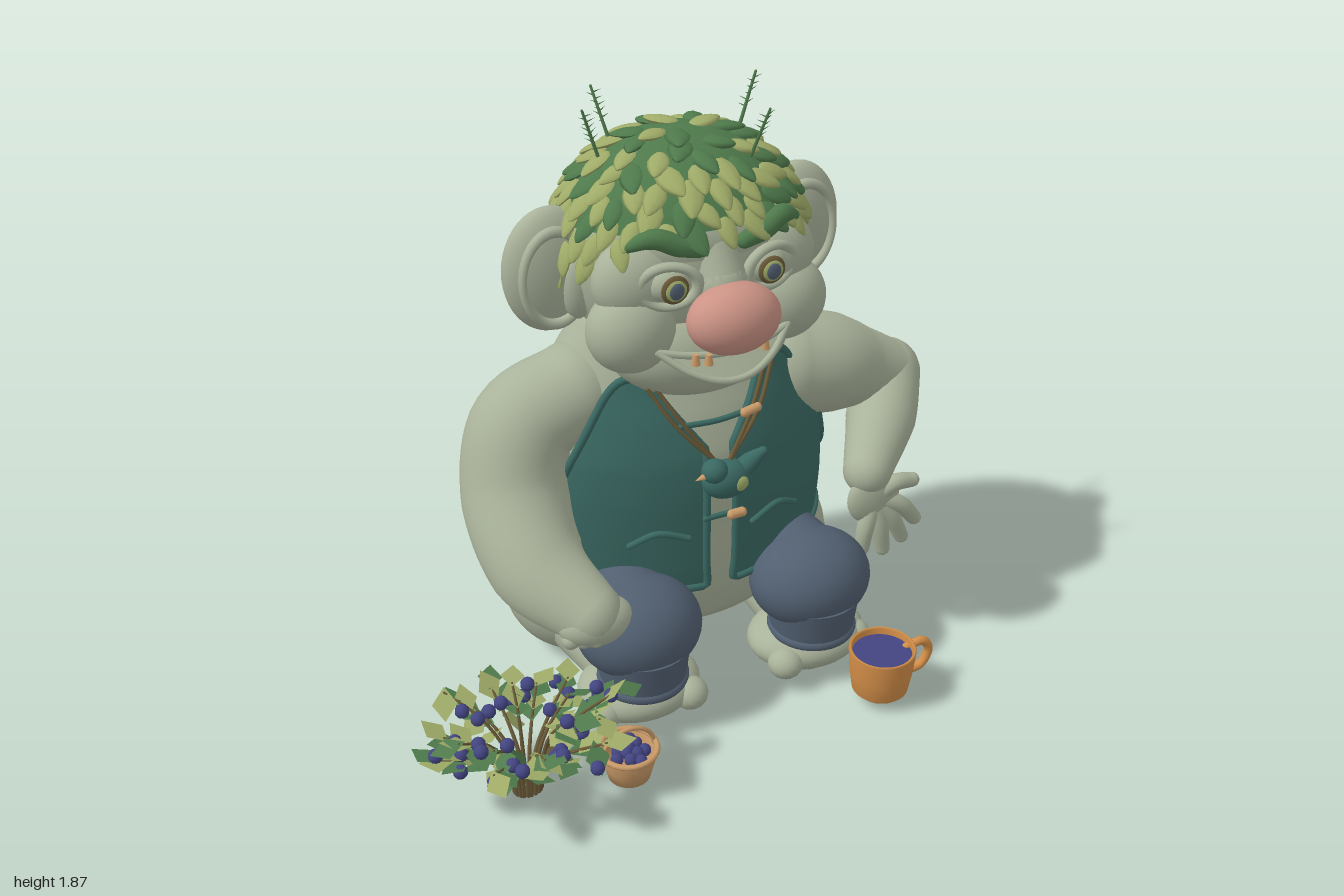
import * as THREE from 'three';
import { mergeGeometries } from 'three/addons/utils/BufferGeometryUtils.js';
import { ParametricGeometry } from 'three/addons/geometries/ParametricGeometry.js';

const V = (x, y, z) => new THREE.Vector3(x, y, z);
const mat = (name, color, side = THREE.FrontSide) => {
  const m = new THREE.MeshStandardMaterial({ color, side });
  m.name = name;
  return m;
};
const CX = 0.1; // the body's own middle line

export function createModel() {
  const root = new THREE.Group();
  const skin = mat('skin', 0xa9b29a, THREE.DoubleSide), teal = mat('vestTeal', 0x3a6862, THREE.DoubleSide);
  const denim = mat('trouserBlue', 0x515f70), pink = mat('nosePink', 0xcb9385);
  const dark = mat('darkLeaf', 0x4f7a4c, THREE.DoubleSide), light = mat('lightLeaf', 0x9fab68, THREE.DoubleSide);
  const orange = mat('cupOrange', 0xd38e48, THREE.DoubleSide), wicker = mat('wicker', 0xc99a68, THREE.DoubleSide);
  const berry = mat('berryBlue', 0x434582), stem = mat('stemBrown', 0x6a5a38);

  let seed = 7;
  const rnd = () => (seed = (seed * 16807) % 2147483647) / 2147483647;
  const add = (name, geo, m) => {
    const mesh = new THREE.Mesh(geo, m);
    mesh.name = name;
    root.add(mesh);
    return mesh;
  };
  const ballGeo = (c, r, seg = 32) => new THREE.SphereGeometry(1, seg, Math.ceil(seg * 0.7)).scale(...r).translate(...c);
  const ball = (name, c, r, m, seg) => add(name, ballGeo(c, r, seg), m);
  // Tapered round-ended tube through points [x, y, z, radius]
  const limbGeo = (pts, n = 24, m = 20) => {
    const curve = new THREE.CatmullRomCurve3(pts.map((p) => V(p[0], p[1], p[2])));
    const g = new THREE.TubeGeometry(curve, n, 1, m), pos = g.attributes.position, v = V();
    for (let i = 0; i <= n; i++) {
      const c = curve.getPointAt(i / n), f = (i / n) * (pts.length - 1), k = Math.min(Math.floor(f), pts.length - 2);
      const r = THREE.MathUtils.lerp(pts[k][3], pts[k + 1][3], f - k);
      for (let j = 0; j <= m; j++) {
        const id = i * (m + 1) + j;
        v.fromBufferAttribute(pos, id).sub(c).multiplyScalar(r).add(c);
        pos.setXYZ(id, v.x, v.y, v.z);
      }
    }
    const ends = [pts[0], pts.at(-1)].map((p) => ballGeo(p.slice(0, 3), [p[3], p[3], p[3]], m));
    return mergeGeometries([g, ...ends]);
  };
  const limb = (name, pts, m, n, s) => add(name, limbGeo(pts, n, s), m);
  // Puts a shape with its y along dir and its z near normal
  const place = (geo, p, dir, normal) => {
    const y = dir.clone().normalize(), z = normal.clone().addScaledVector(y, -normal.dot(y)).normalize();
    return geo.applyMatrix4(new THREE.Matrix4().makeBasis(y.clone().cross(z), y, z).setPosition(p));
  };

  // Torso: rows of half width, front z and back z at even heights
  const Y0 = 0.08, Y1 = 1.33;
  const rows = new THREE.CatmullRomCurve3([
    [0.05, -0.18, -0.27], [0.35, 0.01, -0.45], [0.44, 0.05, -0.53], [0.47, 0.06, -0.57], [0.48, 0.06, -0.575], [0.475, 0.06, -0.57],
    [0.46, 0.05, -0.56], [0.43, 0.015, -0.55], [0.39, -0.03, -0.535], [0.31, -0.05, -0.485], [0.2, -0.07, -0.38],
  ].map((r) => V(...r)));
  const bodyAt = (a, y, off = 0) => {
    const r = rows.getPoint(THREE.MathUtils.clamp((y - Y0) / (Y1 - Y0), 0, 1));
    return V(CX + (r.x + off) * Math.sin(a), y, (r.y + r.z) / 2 + ((r.y - r.z) / 2 + off) * Math.cos(a));
  };
  add('torso', new ParametricGeometry((u, v, t) => t.copy(bodyAt(u * Math.PI * 2, Y0 + v * (Y1 - Y0))), 48, 40), skin);

  // Vest: wraps the torso, its upper edge dips for neckline and armholes
  const edge = [[0.1, 0.88], [0.27, 0.98], [0.5, 1.09], [0.75, 1.08], [1.02, 0.88], [1.27, 0.68], [1.6, 0.59], [2.0, 0.77], [2.45, 1.04], [2.8, 1.14]];
  const full = [...edge, [Math.PI, 1.16], ...edge.map(([a, y]) => [Math.PI * 2 - a, y]).reverse()];
  const topEdge = new THREE.SplineCurve(full.map((p) => new THREE.Vector2(...p)));
  const vestAt = (u, v) => {
    const p = topEdge.getPoint(u), low = 0.385 + 0.06 * Math.sin(p.x) ** 2;
    const pleat = p.x > 2 && p.x < 4.3 ? 0.006 * Math.sin(p.x * 14) : 0;
    return bodyAt(p.x, low + (p.y - low) * v, 0.022 + pleat);
  };
  add('vest', new ParametricGeometry((u, v, t) => t.copy(vestAt(u, v)), 120, 24), teal);
  const rim = [];
  for (let i = 0; i <= 80; i++) rim.push(vestAt(i / 80, 1));
  for (let i = 1; i < 6; i++) rim.push(vestAt(1, 1 - i / 6));
  for (let i = 80; i >= 0; i--) rim.push(vestAt(i / 80, 0));
  for (let i = 1; i < 6; i++) rim.push(vestAt(0, i / 6));
  add('vestTrim', new THREE.TubeGeometry(new THREE.CatmullRomCurve3(rim, true), 300, 0.013, 8, true), teal);
  for (const s of [-1, 1]) {
    const pocket = [[0.22, 0.585], [0.42, 0.615], [0.6, 0.575]].map(([a, y]) => [...bodyAt(s * a, y, 0.026).toArray(), 0.011]);
    limb('pocketEdge', pocket, teal, 10, 8);
  }

  // Ties, toggles, necklace cords and bird pendant
  limb('upperTie', [[-0.02, 0.97, 0.045, 0.009], [0.1, 0.965, 0.05, 0.009], [0.22, 0.975, 0.045, 0.009]], teal, 8, 8);
  limb('lowerTie', [[0.04, 0.65, 0.09, 0.009], [0.16, 0.65, 0.09, 0.009]], teal, 4, 8);
  limb('upperToggle', [[0.185, 0.972, 0.055, 0.015], [0.23, 0.978, 0.05, 0.015]], wicker, 4, 10);
  limb('lowerToggle', [[0.125, 0.648, 0.1, 0.016], [0.16, 0.648, 0.1, 0.016]], wicker, 4, 10);
  for (const s of [-1, 1]) for (const d of [0, 0.024])
    limb('necklaceCord', [[CX + s * (0.18 + d), 1.09, -0.005, 0.007], [CX + s * (0.11 + d), 0.97, 0.05, 0.007], [CX + s * 0.02, 0.84, 0.09, 0.007]], stem, 12, 6);
  ball('birdBody', [0.105, 0.785, 0.1], [0.08, 0.062, 0.055], teal, 20);
  ball('birdHead', [0.06, 0.83, 0.11], [0.042, 0.038, 0.04], teal, 16);
  limb('birdTail', [[0.15, 0.8, 0.1, 0.035], [0.2, 0.835, 0.1, 0.03], [0.228, 0.85, 0.1, 0.015]], teal, 8, 10);
  ball('birdBelly', [0.13, 0.785, 0.142], [0.028, 0.026, 0.015], light, 14);
  add('birdBeak', new THREE.ConeGeometry(0.014, 0.04, 10).rotateZ(1.8).translate(0.012, 0.82, 0.115), wicker);

  // Head, jaw, nose, face
  const HC = V(CX, 1.43, -0.23);
  ball('head', HC.toArray(), [0.36, 0.35, 0.295], skin, 40);
  ball('forehead', [CX, 1.52, -0.12], [0.28, 0.16, 0.18], skin);
  ball('jaw', [CX, 1.19, -0.09], [0.29, 0.175, 0.185], skin, 36);
  ball('nose', [CX, 1.35, 0.14], [0.142, 0.105, 0.1], pink);
  limb('noseBridge', [[CX, 1.51, 0.0, 0.07], [CX, 1.42, 0.05, 0.08]], skin, 8);
  for (const s of [-1, 1]) {
    const X = (d) => CX + s * d;
    ball('cheek', [X(0.245), 1.29, -0.025], [0.135, 0.13, 0.112], skin);
    ball('eyeSocket', [X(0.21), 1.43, -0.05], [0.14, 0.13, 0.1], skin);
    ball('eyeball', [X(0.152), 1.44, 0.025], [0.07, 0.055, 0.055], skin, 24);
    ball('iris', [X(0.152), 1.44, 0.075], [0.043, 0.043, 0.014], stem, 20);
    ball('irisRing', [X(0.152), 1.44, 0.08], [0.034, 0.034, 0.013], light, 20);
    ball('pupil', [X(0.152), 1.44, 0.085], [0.025, 0.027, 0.011], denim, 16);
    add('eyelids', new THREE.TorusGeometry(0.077, 0.017, 10, 32).scale(1.1, 0.8, 1).rotateY(s * 0.25).translate(X(0.16), 1.44, 0.05), skin);
    limb('eyebrow', [[X(0.07), 1.542, 0.06, 0.024], [X(0.13), 1.562, 0.055, 0.033], [X(0.2), 1.588, 0.035, 0.03], [X(0.26), 1.56, 0.0, 0.016]], dark, 16, 12);
    // Ear: flat shell with a faint rim
    ball('ear', [X(0.4), 1.415, -0.25], [0.147, 0.195, 0.075], skin);
    add('earRim', new THREE.TorusGeometry(0.1, 0.012, 10, 40).scale(1, 1.45, 1.4).translate(X(0.405), 1.41, -0.193), skin);
    ball('earLobe', [X(0.34), 1.37, -0.19], [0.05, 0.1, 0.04], skin, 20);
  }
  // Mouth: thin curved lower lip, upper lip and crooked teeth
  const lipAt = (u, v) => {
    const k = 1 - (2 * u - 1) ** 2;
    return V(CX + (u - 0.5) * 0.42, 1.255 - k * (0.025 + 0.067 * v), 0.075 + k * (0.04 + 0.05 * v));
  };
  add('mouth', new ParametricGeometry((u, v, t) => t.copy(lipAt(u, 1 - v)), 24, 6), skin);
  for (const v of [0, 1]) limb(v ? 'lowerLip' : 'upperLip', [0, 0.2, 0.4, 0.6, 0.8, 1].map((u) => [...lipAt(u, v).toArray(), 0.011]), skin, 24, 8);
  for (const u of [0.24, 0.33, 0.77])
    add('tooth', new THREE.CylinderGeometry(0.009, 0.015, 0.032, 8).translate(...lipAt(u, 0.1).add(V(0, 0, 0.012)).toArray()), wicker);

  // Leafy hair: cap and scattered rings of leaves
  add('hairCap', new THREE.SphereGeometry(1, 40, 20, 0, Math.PI * 2, 0, 1.2).rotateX(-0.1).scale(0.388, 0.362, 0.335).translate(...HC.toArray()), dark);
  const leafGeo = () => {
    const g = new THREE.SphereGeometry(1, 8, 7), p = g.attributes.position;
    for (let i = 0; i < p.count; i++) if (p.getY(i) > 0) p.setX(i, p.getX(i) * (1 - 0.4 * p.getY(i)));
    g.computeVertexNormals();
    return g;
  };
  const tufts = [[], []];
  for (let pol = 0.24, row = 0; pol < 2.08; pol += 0.15, row++) {
    const n = Math.round((Math.PI * 2 * Math.sin(pol) * 0.36) / (pol < 0.6 ? 0.13 : 0.08));
    for (let i = 0; i < n; i++) {
      const a = ((i + (row % 2) / 2 + (rnd() - 0.5) * 0.5) / n) * Math.PI * 2;
      if (pol > 1.2 + 0.43 * (1 - Math.cos(a))) continue;
      const q = V(Math.sin(pol) * Math.sin(a), Math.cos(pol), Math.sin(pol) * Math.cos(a));
      const down = V(0.39 * Math.cos(pol) * Math.sin(a), -0.36 * Math.sin(pol), 0.33 * Math.cos(pol) * Math.cos(a)).normalize();
      const nrm = V(q.x / 0.39, q.y / 0.36, q.z / 0.33).normalize();
      const size = 0.85 + rnd() * 0.3;
      const at = V(q.x * 0.395, q.y * 0.367, q.z * 0.338).add(HC);
      const twist = V().crossVectors(nrm, down).multiplyScalar(rnd() * 1.1 - 0.25);
      const isDark = rnd() < (pol < 0.5 ? 0.6 : 0.2);
      tufts[isDark ? 0 : 1].push(place(leafGeo().scale(0.034 * size, 0.056 * size, 0.014), at, down.add(twist).addScaledVector(nrm, 0.25), nrm));
    }
  }
  add('darkHairLeaves', mergeGeometries(tufts[0]), dark);
  add('lightHairLeaves', mergeGeometries(tufts[1]), light);
  for (const [x, z, tx, tz] of [[-0.13, -0.25, -0.18, -0.26], [-0.05, -0.36, -0.08, -0.44], [0.26, -0.1, 0.3, -0.05], [0.33, -0.31, 0.41, -0.35]]) {
    const a = V(x, 1.7, z), b = V(tx, 1.87, tz), parts = [limbGeo([[...a.toArray(), 0.006], [...b.toArray(), 0.004]], 4, 6)];
    for (let i = 0; i < 10; i++) {
      const dir = V(i % 2 ? 1 : -1, 0.5, (rnd() - 0.5) * 2);
      parts.push(place(new THREE.ConeGeometry(0.003, 0.03, 5).translate(0, 0.012, 0), a.clone().lerp(b, 0.45 + i * 0.05), dir, V(0.1, 1, 0.2)));
    }
    add('hairSprig', mergeGeometries(parts), dark);
  }

  // Arms and hands
  limb('rightArm', [[-0.24, 1.0, -0.25, 0.15], [-0.41, 0.92, -0.24, 0.165], [-0.475, 0.74, -0.17, 0.165], [-0.47, 0.57, 0.0, 0.15], [-0.37, 0.465, 0.15, 0.1]], skin, 36, 28);
  ball('rightPalm', [-0.36, 0.45, 0.17], [0.12, 0.075, 0.08], skin, 24);
  for (let i = 0; i < 3; i++) limb('rightFinger', [[-0.4 + i * 0.03, 0.45, 0.17, 0.035], [-0.45 + i * 0.035, 0.42, 0.19 + i * 0.012, 0.028]], skin, 6, 12);
  limb('leftUpperArm', [[0.46, 0.95, -0.2, 0.165], [0.6, 0.92, -0.2, 0.165], [0.75, 0.85, -0.24, 0.135], [0.88, 0.785, -0.26, 0.115]], skin, 28, 28);
  limb('leftForearm', [[0.88, 0.785, -0.26, 0.118], [0.8, 0.71, -0.14, 0.115], [0.67, 0.6, 0.0, 0.08]], skin, 20, 24);
  ball('leftPalm', [0.68, 0.515, 0.03], [0.095, 0.1, 0.042], skin, 24);
  for (const [x, y, mx, my] of [[0.815, 0.55, 0.74, 0.56], [0.835, 0.395, 0.77, 0.47], [0.79, 0.335, 0.74, 0.43], [0.72, 0.305, 0.7, 0.4], [0.64, 0.33, 0.645, 0.41]])
    limb('leftFinger', [[0.68, 0.51, 0.03, 0.034], [mx, my, 0.05, 0.03], [x, y, 0.045, 0.025]], skin, 10, 12);

  // Legs, trousers and feet
  for (const s of [-1, 1]) {
    const X = (d) => CX + s * d;
    ball('buttock', [X(0.335), 0.245, -0.325], [0.24, 0.24, 0.245], skin, 36);
    limb('lowerLeg', [[X(0.335), 0.22, -0.3, 0.19], [X(0.32), 0.16, -0.08, 0.14], [X(0.3), 0.12, 0.13, 0.1]], skin, 20, 24);
    ball('foot', [X(0.3), 0.11, 0.11], [0.2, 0.09, 0.16], skin);
    for (let i = 0; i < 4; i++) ball('toe', [X(0.17 + i * 0.09), 0.1, 0.215 - 0.012 * i], [0.058, 0.052, 0.058], skin, 16);
    limb('trouserThigh', [[X(0.28), 0.35, -0.12, 0.145], [X(0.3), 0.345, 0.1, 0.155]], denim, 14, 28);
    ball('trouserKnee', [X(0.3), 0.345, 0.12], [0.2, 0.155, 0.175], denim, 36);
    add('trouserCuff', new THREE.CylinderGeometry(0.15, 0.135, 0.13, 32).translate(X(0.3), 0.235, 0.145), denim);
    add('cuffRoll', new THREE.TorusGeometry(0.125, 0.02, 10, 36).rotateX(Math.PI / 2).translate(X(0.3), 0.175, 0.145), denim);
  }

  // Cup with drink
  const lathe = (pts, x, y, z, n = 36) => new THREE.LatheGeometry(pts.map((p) => new THREE.Vector2(...p)), n).translate(x, y, z);
  add('cup', lathe([[0.001, 0], [0.075, 0], [0.09, 0.015], [0.1, 0.08], [0.107, 0.165], [0.102, 0.17], [0.096, 0.165], [0.094, 0.1]], 0.52, 0.035, 0.39), orange);
  add('drink', new THREE.CircleGeometry(0.096, 32).rotateX(-Math.PI / 2).translate(0.52, 0.18, 0.39), berry);
  limb('cupHandle', [[0.61, 0.175, 0.39, 0.014], [0.67, 0.18, 0.39, 0.015], [0.695, 0.14, 0.39, 0.015], [0.67, 0.085, 0.39, 0.015], [0.61, 0.075, 0.39, 0.014]], orange, 20, 12);

  // Berry basket
  const B = [-0.365, 0.045, 0.41];
  add('basket', lathe([[0.001, 0], [0.065, 0], [0.078, 0.05], [0.088, 0.1], [0.08, 0.1], [0.07, 0.05]], ...B, 24), wicker);
  add('basketRim', new THREE.TorusGeometry(0.086, 0.009, 8, 28).rotateX(Math.PI / 2).translate(B[0], B[1] + 0.1, B[2]), wicker);
  add('basketHandle', new THREE.TorusGeometry(0.082, 0.007, 8, 24, Math.PI).translate(B[0], B[1] + 0.09, B[2]), wicker);
  const berries = [];
  for (let i = 0; i < 12; i++) {
    const r = 0.058 * Math.sqrt(i / 12), a = i * 2.4;
    berries.push(ballGeo([B[0] + r * Math.cos(a), B[1] + 0.1 - r * 0.25, B[2] + r * Math.sin(a)], [0.02, 0.02, 0.02], 10));
  }

  // Berry bush: arching stems with broad diamond leaves
  const stems = [], bush = [[], []];
  for (let i = 0; i < 22; i++) {
    const a = i * 2.4, r = 0.12 + 0.17 * Math.sqrt((i + 0.5) / 22), h = 0.36 - 0.12 * rnd(), c = Math.cos(a), s = Math.sin(a) * 0.76;
    const P = (k, y) => V(-0.66 + c * k, y, 0.335 + s * k);
    const pts = [P(0.04, 0.04), P(0.055, 0.14), P(r * 0.55, h * 0.8), P(r, h)];
    stems.push(limbGeo(pts.map((p, k) => [...p.toArray(), 0.008 - k * 0.0015]), 10, 6));
    for (let k = 0; k < 4; k++) {
      const dir = V(c + (rnd() - 0.5) * 1.8, (rnd() - 0.4) * 0.8, s + (rnd() - 0.5) * 1.8).normalize();
      const g = new THREE.CircleGeometry(1, 4).scale(0.037, 0.053, 1).translate(0, 0.035, 0);
      bush[(i + k) % 2].push(place(g, pts[2].clone().lerp(pts[3], k / 3), dir, V((rnd() - 0.5) * 0.8, 1, (rnd() - 0.5) * 0.8)));
    }
    for (let k = 0; k < 1 + (i % 2); k++) {
      const p = pts[2].clone().lerp(pts[3], 0.8).add(V((rnd() - 0.5) * 0.1, (rnd() - 0.5) * 0.08, (rnd() - 0.5) * 0.1));
      berries.push(ballGeo(p.toArray(), [0.022, 0.022, 0.022], 10));
    }
  }
  add('bushStems', mergeGeometries(stems), stem);
  add('darkBushLeaves', mergeGeometries(bush[0]), dark);
  add('lightBushLeaves', mergeGeometries(bush[1]), light);
  add('berries', mergeGeometries(berries), berry);
  return root;
}
